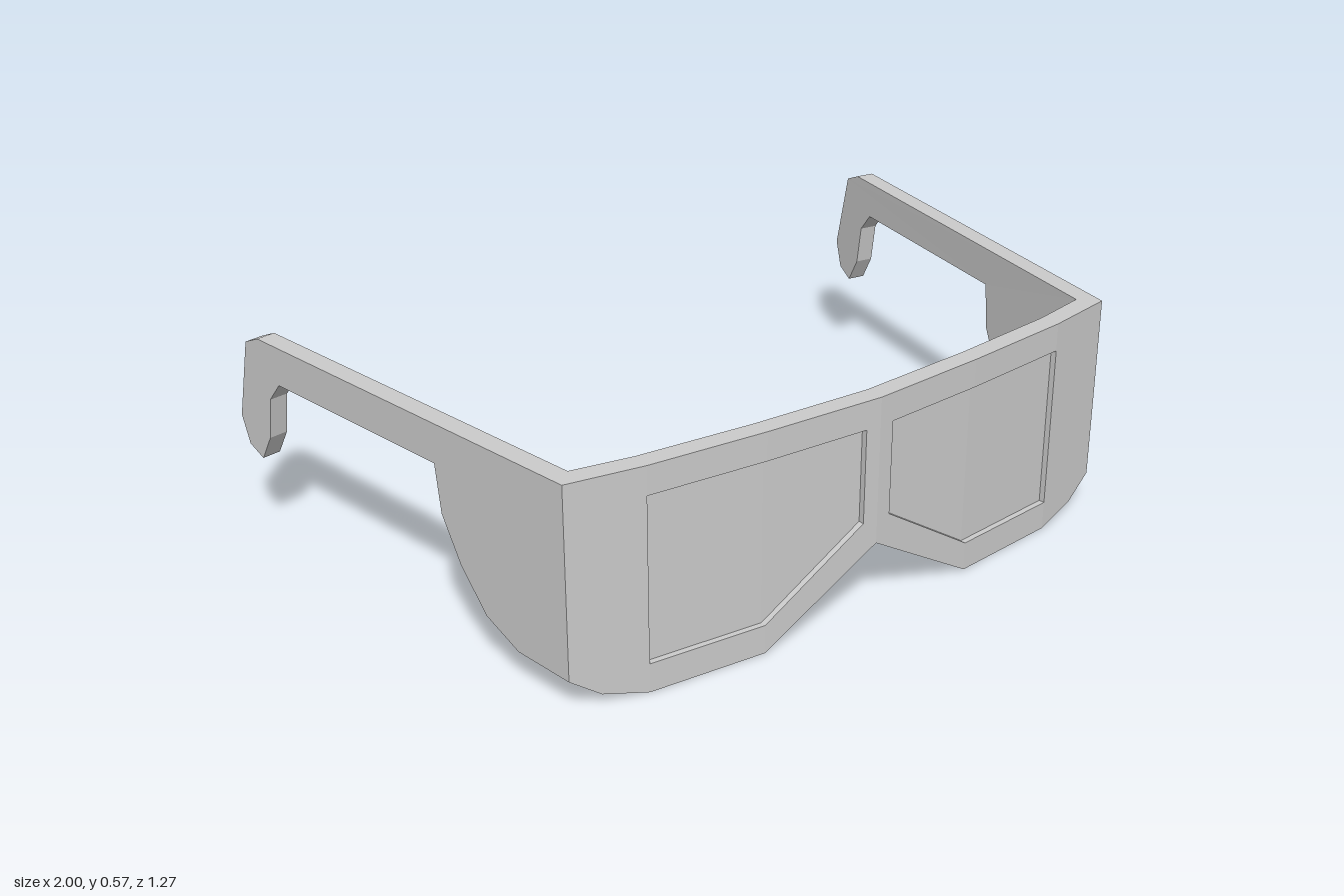
import * as THREE from 'three';
import { mergeGeometries } from 'three/addons/utils/BufferGeometryUtils.js';

const TOP = 0.573;

// Extrude an outline from depth d0 to d1, then place every corner with a rule.
function mappedPrism(points, d0, d1, rule) {
  const shape = new THREE.Shape(points.map(([x, y]) => new THREE.Vector2(x, y)));
  const raw = new THREE.ExtrudeGeometry(shape, { depth: d1 - d0, bevelEnabled: false });
  const geo = raw.index ? raw.toNonIndexed() : raw;
  geo.translate(0, 0, d0);
  const p = geo.attributes.position;
  for (let i = 0; i < p.count; i++) p.setXYZ(i, ...rule(p.getX(i), p.getY(i), p.getZ(i)));
  geo.deleteAttribute('uv');
  geo.computeVertexNormals();
  return geo;
}

// Copy mirrored across x = 0, with the corner order turned back.
function mirrored(geo) {
  const g = geo.clone();
  const p = g.attributes.position;
  for (let i = 0; i < p.count; i += 3) {
    const [a, b, c] = [0, 2, 1].map((k) => new THREE.Vector3().fromBufferAttribute(geo.attributes.position, i + k));
    [a, b, c].forEach((v, k) => p.setXYZ(i + k, -v.x, v.y, v.z));
  }
  g.computeVertexNormals();
  return g;
}

// Curve of the front: stations of [front x, front z, back x, back z].
const stations = [
  [0, 0.633, 0, 0.582],
  [0.315, 0.613, 0.315, 0.563],
  [0.62, 0.583, 0.615, 0.532],
  [0.812, 0.548, 0.767, 0.502],
];
function bendFront(x, y, d) {
  let i = 0;
  while (i < stations.length - 2 && x > stations[i + 1][0]) i++;
  const [a, b] = [stations[i], stations[i + 1]];
  const t = (x - a[0]) / (b[0] - a[0]);
  const [fx, fz, bx, bz] = a.map((v, k) => v + (b[k] - v) * t);
  return [bx + (fx - bx) * d, y, bz + (fz - bz) * d];
}

// Temple placement: u runs backwards, d = 1 is the outer face, d = 0 the inner.
function placeTemple(u, y, d) {
  const z = -u;
  if (d < 0.5 && z > 0.54) return [0.767, y, 0.502];
  const x = 0.812 + (0.548 - z) * 0.16;
  return d < 0.5 ? [x - 0.049, y, z - 0.008] : [x, y, z];
}

export function createModel() {
  const model = new THREE.Group();
  const material = new THREE.MeshStandardMaterial({ color: 0xcccccc, flatShading: true });
  const add = (name, geo) => {
    const mesh = new THREE.Mesh(geo, material);
    mesh.name = name;
    model.add(mesh);
  };

  // Half of the front frame, in vertical strips around the lens opening
  const strips = [
    [[0, 0.193], [0.315, 0], [0.315, 0.075], [0.04, 0.257], [0.04, 0.5], [0.315, 0.5], [0.315, TOP], [0, TOP]],
    [[0.315, 0.5], [0.62, 0.5], [0.62, TOP], [0.315, TOP]],
    [[0.315, 0], [0.62, 0], [0.62, 0.075], [0.315, 0.075]],
    [[0.62, 0], [0.735, 0.03], [0.812, 0.085], [0.812, TOP], [0.62, TOP]],
  ];
  const half = mergeGeometries(strips.map((s) => mappedPrism(s, 0, 1, bendFront)));
  add('frontFrame', mergeGeometries([half, mirrored(half)]));

  // Lens set back from both faces of the frame
  const panes = [
    [[0.04, 0.257], [0.315, 0.075], [0.315, 0.5], [0.04, 0.5]],
    [[0.315, 0.075], [0.62, 0.075], [0.62, 0.5], [0.315, 0.5]],
  ];
  const lens = mergeGeometries(panes.map((s) => mappedPrism(s, 0.3, 0.7, bendFront)));
  add('leftLens', lens);
  add('rightLens', mirrored(lens));

  // Temple with side shield and ear hook, outlined as [z, y]
  const outline = [
    [0.548, TOP], [0.548, 0.085], [0.385, 0.09], [0.28, 0.14], [0.2, 0.24], [0.143, 0.35], [0.128, 0.472],
    [-0.45, 0.472], [-0.493, 0.42], [-0.51, 0.31], [-0.55, 0.24], [-0.6, 0.263],
    [-0.625, 0.335], [-0.573, 0.55], [-0.522, TOP],
  ].map(([z, y]) => [-z, y]);
  const temple = mappedPrism(outline, 0, 1, placeTemple);
  add('leftTemple', temple);
  add('rightTemple', mirrored(temple));

  return model;
}
